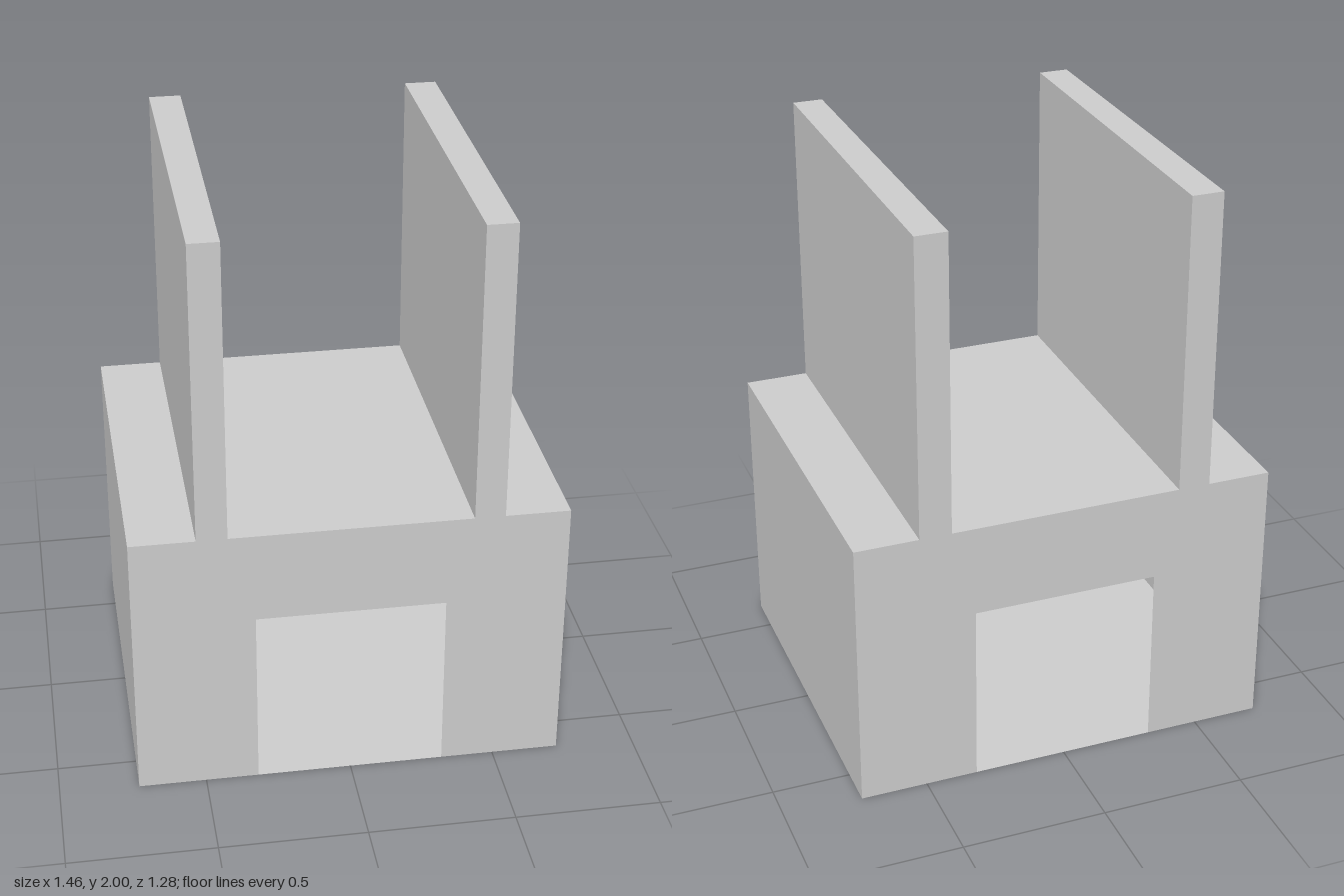
import * as THREE from 'three';

const DEPTH = 0.64; // half depth
const material = new THREE.MeshStandardMaterial({ color: 0xcccccc, side: THREE.DoubleSide, flatShading: true });

// Outline of the hollow shell; the inner faces of the two panels sit at +-inner
function outline(inner) {
  return [
    [-0.73, 0], [0.73, 0], [0.73, 0.96], [0.51, 0.96], [0.51, 2], [inner, 2], [inner, 0.96],
    [-inner, 0.96], [-inner, 2], [-0.51, 2], [-0.51, 0.96], [-0.73, 0.96],
  ];
}

// Names of the sheets, one for each outline edge
const SHEETS = [
  'floor', 'leftWall', 'leftLedge', 'leftPanelOuter', 'leftPanelTop', 'leftPanelInner',
  'deck', 'rightPanelInner', 'rightPanelTop', 'rightPanelOuter', 'rightLedge', 'rightWall',
];

// End wall with the doorway cut up from the floor
function endWall(points, z, name) {
  const doorway = [[-0.32, 0], [-0.32, 0.64], [0.32, 0.64], [0.32, 0]];
  const corners = [points[0], ...doorway, ...points.slice(1)];
  const shape = new THREE.Shape(corners.map(([x, y]) => new THREE.Vector2(x, y)));
  const mesh = new THREE.Mesh(new THREE.ShapeGeometry(shape), material);
  mesh.name = name;
  if (z < 0) mesh.rotation.y = Math.PI; // symmetric, so it can turn to face the back
  mesh.position.z = z;
  return mesh;
}

// Thin sheet joining one edge of the front outline to the same edge at the back
function sheet(a, b, c, d, name) {
  const fa = [...a, DEPTH], fb = [...b, DEPTH], bb = [...c, -DEPTH], ba = [...d, -DEPTH];
  const geometry = new THREE.BufferGeometry();
  geometry.setAttribute('position', new THREE.Float32BufferAttribute([fa, ba, bb, fa, bb, fb].flat(), 3));
  geometry.computeVertexNormals();
  const mesh = new THREE.Mesh(geometry, material);
  mesh.name = name;
  return mesh;
}

export function createModel() {
  const model = new THREE.Group();
  model.name = 'hollowStand';

  // The panels' inner faces splay very slightly toward the front
  const front = outline(0.407);
  const back = outline(0.4);

  SHEETS.forEach((name, i) => {
    const j = (i + 1) % front.length;
    model.add(sheet(front[i], front[j], back[j], back[i], name));
  });

  model.add(endWall(front, DEPTH, 'frontWall'), endWall(back, -DEPTH, 'backWall'));
  return model;
}
